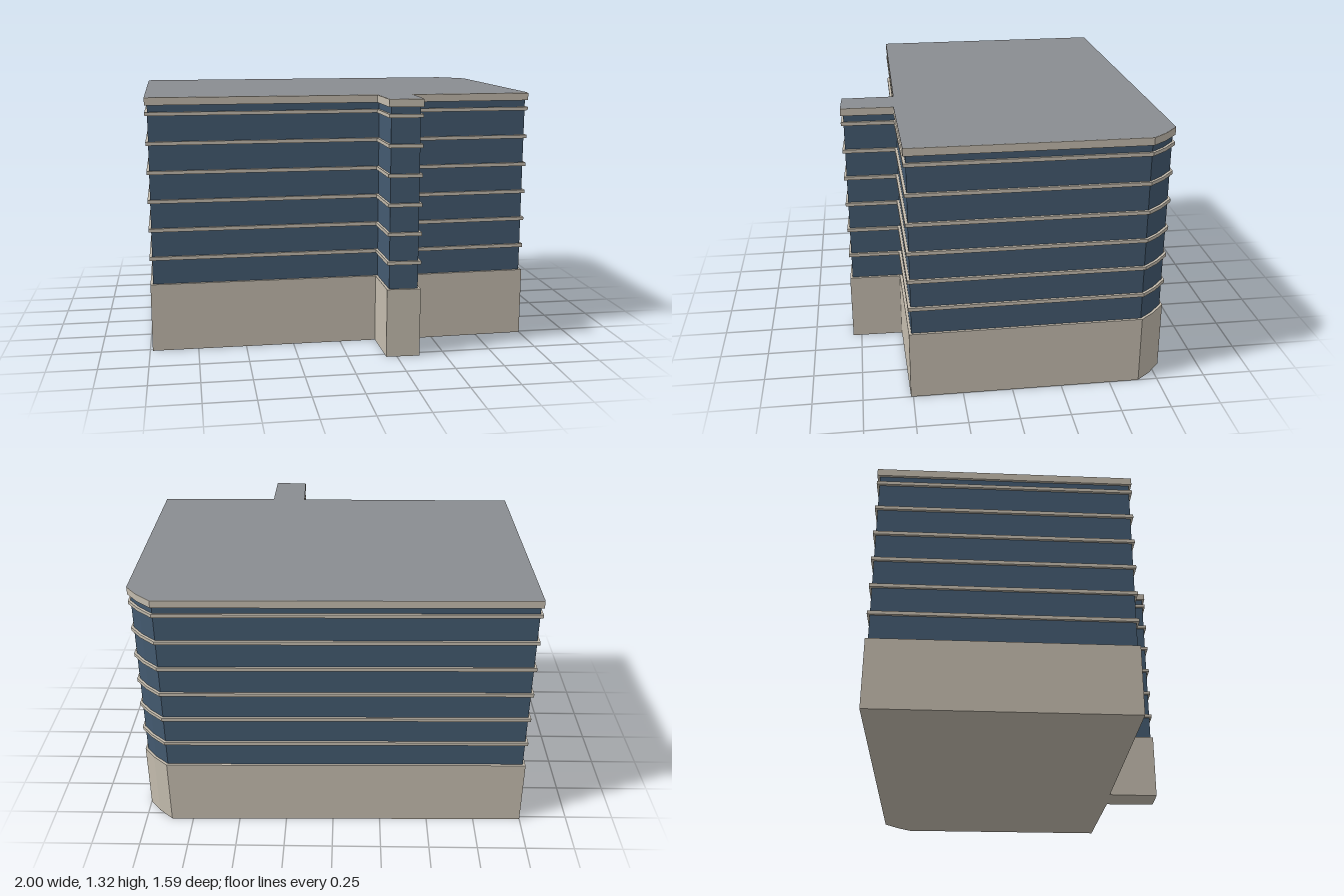
import * as THREE from 'three';

// Building footprint as [x, z]
const FOOTPRINT = [
  [-1, -0.77], [-0.987, 0.52], [0.19, 0.52], [0.195, 0.788], [0.367, 0.795],
  [0.371, 0.527], [1, 0.512], [1, -0.652], [0.942, -0.725], [0.864, -0.795],
];

// Move every edge of the footprint inwards by d
function inset(points, d) {
  const n = points.length;
  const normal = (a, b) => {
    const dx = b[0] - a[0], dz = b[1] - a[1], l = Math.hypot(dx, dz);
    return [dz / l, -dx / l];
  };
  return points.map((p, i) => {
    const n1 = normal(points[(i + n - 1) % n], p);
    const n2 = normal(p, points[(i + 1) % n]);
    const k = d / (1 + n1[0] * n2[0] + n1[1] * n2[1]);
    return [p[0] + (n1[0] + n2[0]) * k, p[1] + (n1[1] + n2[1]) * k];
  });
}

function toShape(points) {
  return new THREE.Shape(points.map(([x, z]) => new THREE.Vector2(x, -z)));
}

export function createModel() {
  const group = new THREE.Group();
  const material = (name, color) => {
    const m = new THREE.MeshStandardMaterial({ color });
    m.name = name;
    return m;
  };
  const stone = material('stone', 0xc4bcae);
  const glass = material('glass', 0x435a70);
  const roofGrey = material('roofGrey', 0x8a8d91);

  const add = (name, geometry, mat, y) => {
    const mesh = new THREE.Mesh(geometry.rotateX(-Math.PI / 2), mat);
    mesh.name = name;
    mesh.position.y = y;
    group.add(mesh);
  };
  const slab = (name, points, bottom, top, mat) => add(name,
    new THREE.ExtrudeGeometry(toShape(points), { depth: top - bottom, bevelEnabled: false }), mat, bottom);

  // Ground floor, recessed glazing and roof edge
  slab('groundFloor', FOOTPRINT, 0, 0.355, stone);
  slab('glazing', inset(FOOTPRINT, 0.013), 0.355, 1.275, glass);
  slab('roofEdge', FOOTPRINT, 1.275, 1.313, stone);

  // Thin projecting band at each storey
  for (let i = 0; i < 6; i++) {
    const y = 0.491 + i * 0.148;
    slab('floorBand' + (i + 1), FOOTPRINT, y - 0.009, y + 0.009, stone);
  }

  // Flat roof surface
  add('roof', new THREE.ShapeGeometry(toShape(FOOTPRINT)), roofGrey, 1.315);
  return group;
}
